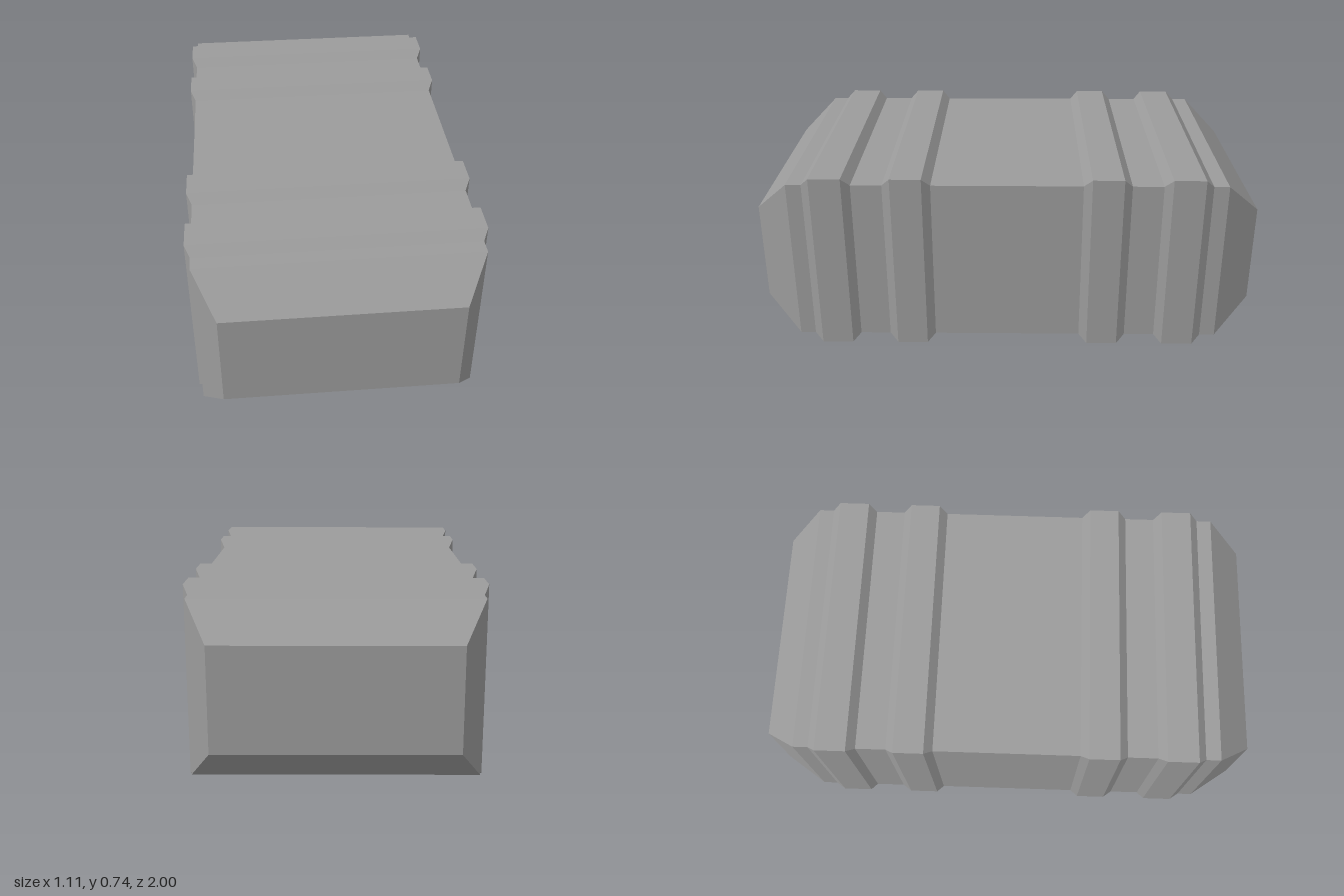
import * as THREE from 'three';

const material = new THREE.MeshStandardMaterial({ color: 0x9b9b9b, flatShading: true });
const CENTER_Y = 0.368;

// Half width and half height of each rectangular cross-section
const BODY = [0.537, 0.335];
const RIB = [0.557, 0.368];
const END = [0.45, 0.2];

// Joins rectangular sections [z, [halfWidth, halfHeight]], ordered back to front
function loft(name, sections, capBack = false, capFront = false) {
  const rings = sections.map(([z, [w, h]]) => [[w, h, z], [-w, h, z], [-w, -h, z], [w, -h, z]]);
  const positions = [];
  const quad = (a, b, c, d) => positions.push(...a, ...b, ...c, ...a, ...c, ...d);

  for (let s = 0; s < rings.length - 1; s++) {
    const a = rings[s], b = rings[s + 1];
    for (let i = 0; i < 4; i++) {
      const j = (i + 1) % 4;
      quad(a[i], a[j], b[j], b[i]);
    }
  }
  if (capBack) quad(...[...rings[0]].reverse());
  if (capFront) quad(...rings[rings.length - 1]);

  const geometry = new THREE.BufferGeometry();
  geometry.setAttribute('position', new THREE.Float32BufferAttribute(positions, 3));
  geometry.computeVertexNormals();
  const mesh = new THREE.Mesh(geometry, material);
  mesh.name = name;
  mesh.position.y = CENTER_Y;
  return mesh;
}

export function createModel() {
  const group = new THREE.Group();
  group.name = 'ribbedCrate';

  // Long plain middle of the case
  group.add(loft('middleBody', [[-0.297, BODY], [0.297, BODY]]));

  // Front and back halves mirror each other
  for (const side of [1, -1]) {
    const prefix = side > 0 ? 'front' : 'back';
    const add = (part, sections, cap = false) => {
      const placed = sections.map(([z, size]) => [z * side, size]);
      if (side < 0) placed.reverse();
      group.add(loft(prefix + part, placed, cap && side < 0, cap && side > 0));
    };

    // Raised bands with bevelled edges
    add('InnerRib', [[0.297, BODY], [0.33, RIB], [0.453, RIB], [0.486, BODY]]);
    add('Groove', [[0.486, BODY], [0.608, BODY]]);
    add('OuterRib', [[0.608, BODY], [0.641, RIB], [0.766, RIB], [0.799, BODY]]);

    // Tapered closed end
    add('End', [[0.799, BODY], [0.86, BODY], [1, END]], true);
  }
  return group;
}
